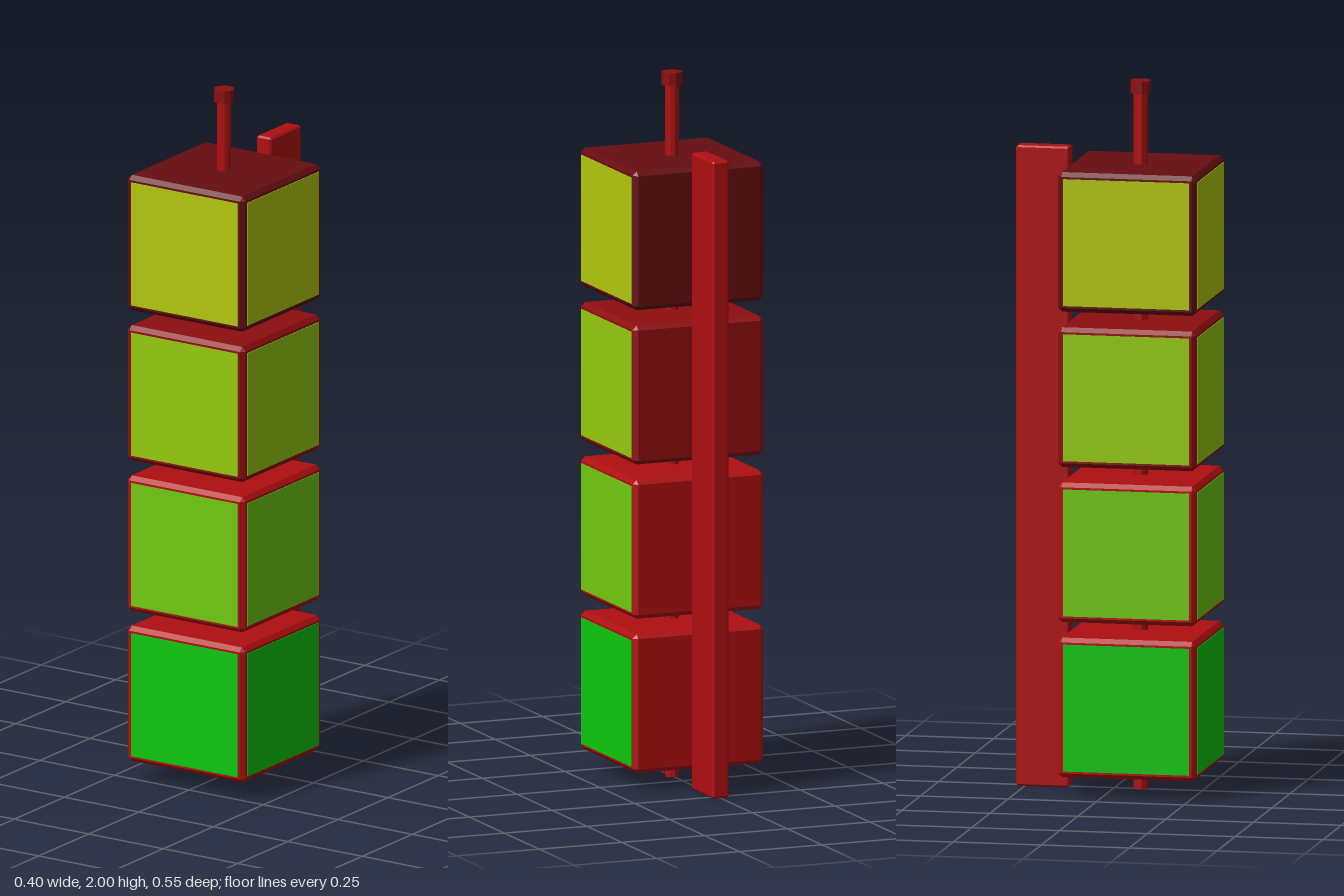
import * as THREE from 'three';
import { ConvexGeometry } from 'three/addons/geometries/ConvexGeometry.js';

const material = (name, color) => {
  const m = new THREE.MeshStandardMaterial({ color });
  m.name = name;
  return m;
};

// Box with every edge cut at 45 degrees
function chamferedBox(w, h, d, c) {
  const points = [];
  for (const sx of [-1, 1]) for (const sy of [-1, 1]) for (const sz of [-1, 1]) {
    const x = w / 2, y = h / 2, z = d / 2;
    points.push(
      new THREE.Vector3(sx * x, sy * (y - c), sz * (z - c)),
      new THREE.Vector3(sx * (x - c), sy * y, sz * (z - c)),
      new THREE.Vector3(sx * (x - c), sy * (y - c), sz * z));
  }
  return new ConvexGeometry(points);
}

export function createModel() {
  const model = new THREE.Group();
  model.name = 'stackedLampTower';

  const red = material('red', 0xb00e10);
  const midRed = material('midRed', 0x8e0d10);
  const darkRed = material('darkRed', 0x660d10);
  const green = material('green', 0x0dc90d);
  const leafGreen = material('leafGreen', 0x72cb10);
  const lime = material('lime', 0x98cb0f);
  const yellowGreen = material('yellowGreen', 0xb4c90f);

  const add = (parent, name, geometry, mat, x, y, z) => {
    const mesh = new THREE.Mesh(geometry, mat);
    mesh.name = name;
    mesh.position.set(x, y, z);
    parent.add(mesh);
    return mesh;
  };

  const size = 0.394, pitch = 0.438, axisZ = 0.075;

  // Four lamp blocks, each with panels on the front and both sides
  const blockGeometry = chamferedBox(size, size, size, 0.012);
  const panelGeometry = new THREE.BoxGeometry(0.358, 0.358, 0.004);
  const blocks = [[red, green], [red, leafGreen], [midRed, lime], [darkRed, yellowGreen]];
  blocks.forEach(([frame, colour], i) => {
    const block = new THREE.Group();
    block.name = `lampBlock${i + 1}`;
    block.position.set(0, 0.253 + i * pitch, axisZ);
    add(block, 'housing', blockGeometry, frame, 0, 0, 0);
    for (const [name, turn] of [['rightPanel', -1], ['frontPanel', 0], ['leftPanel', 1]]) {
      const angle = turn * Math.PI / 2, r = size / 2;
      add(block, name, panelGeometry, colour, Math.sin(angle) * r, 0, Math.cos(angle) * r)
        .rotation.y = angle;
    }
    model.add(block);
  });

  // Central rod through all blocks, with its cap
  const rod = new THREE.CylinderGeometry(0.02, 0.02, 1.97, 10).toNonIndexed();
  rod.computeVertexNormals();
  add(model, 'centralRod', rod, red, 0, 0.985, axisZ);
  const cap = new THREE.CylinderGeometry(0.029, 0.029, 0.036, 10).toNonIndexed();
  cap.computeVertexNormals();
  add(model, 'rodCap', cap, midRed, 0, 1.982, axisZ);

  // Upright mounting bar behind the blocks
  add(model, 'mountingBar', chamferedBox(0.05, 1.808, 0.152, 0.005), red, 0, 0.904, -0.199);

  return model;
}
